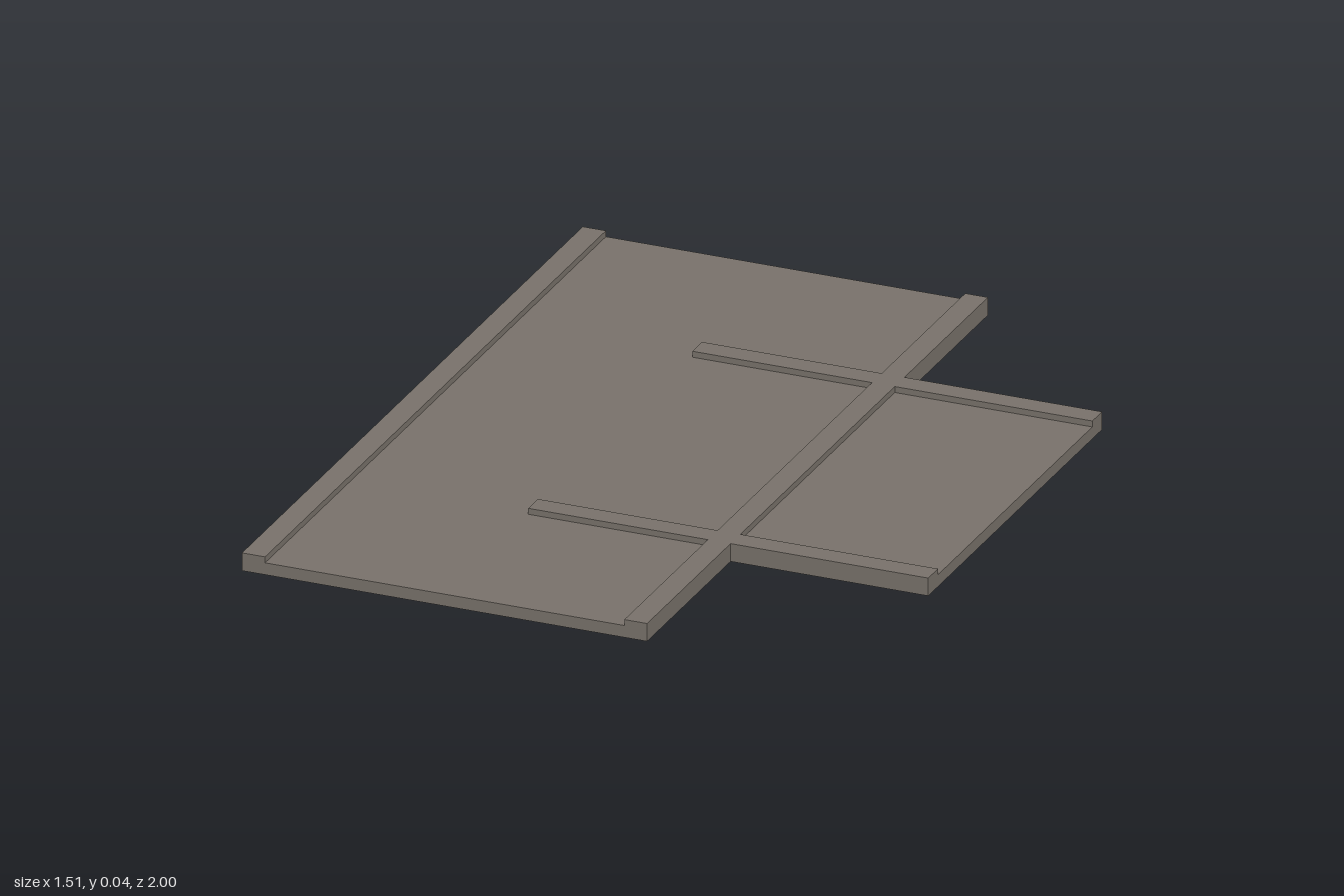
import * as THREE from 'three';

const SLAB = 0.03;   // slab thickness
const TOP = 0.045;   // top of the raised ribs

export function createModel() {
  const model = new THREE.Group();
  const stone = new THREE.MeshStandardMaterial({ color: 0x78716a });
  stone.name = 'warm grey stone';

  const add = (name, geometry) => {
    const mesh = new THREE.Mesh(geometry, stone);
    mesh.name = name;
    model.add(mesh);
    return mesh;
  };

  // T-shaped floor slab: long main field with a smaller bay on the +x side
  const outline = new THREE.Shape([
    [-0.755, -1], [0.26, -1], [0.26, -0.51], [0.755, -0.51],
    [0.755, 0.51], [0.26, 0.51], [0.26, 1], [-0.755, 1],
  ].map(([x, y]) => new THREE.Vector2(x, y)));
  const slab = new THREE.ExtrudeGeometry(outline, { depth: SLAB, bevelEnabled: false });
  slab.rotateX(-Math.PI / 2);
  add('floorSlab', slab);

  // Raised ribs standing on the slab
  const rib = (name, x0, x1, z0, z1) => {
    const mesh = add(name, new THREE.BoxGeometry(x1 - x0, TOP - SLAB, z1 - z0));
    mesh.position.set((x0 + x1) / 2, (SLAB + TOP) / 2, (z0 + z1) / 2);
  };
  rib('outerEdgeRib', -0.755, -0.697, -1, 1);
  rib('dividingRib', 0.203, 0.26, -1, 1);

  // Mirrored cross ribs: a short stub in the main field, an edge rib on the bay
  for (const [side, z0, z1] of [['front', 0.453, 0.51], ['back', -0.51, -0.453]]) {
    rib(side + 'StubRib', -0.247, 0.203, z0, z1);
    rib(side + 'BayRib', 0.26, 0.755, z0, z1);
  }
  return model;
}
